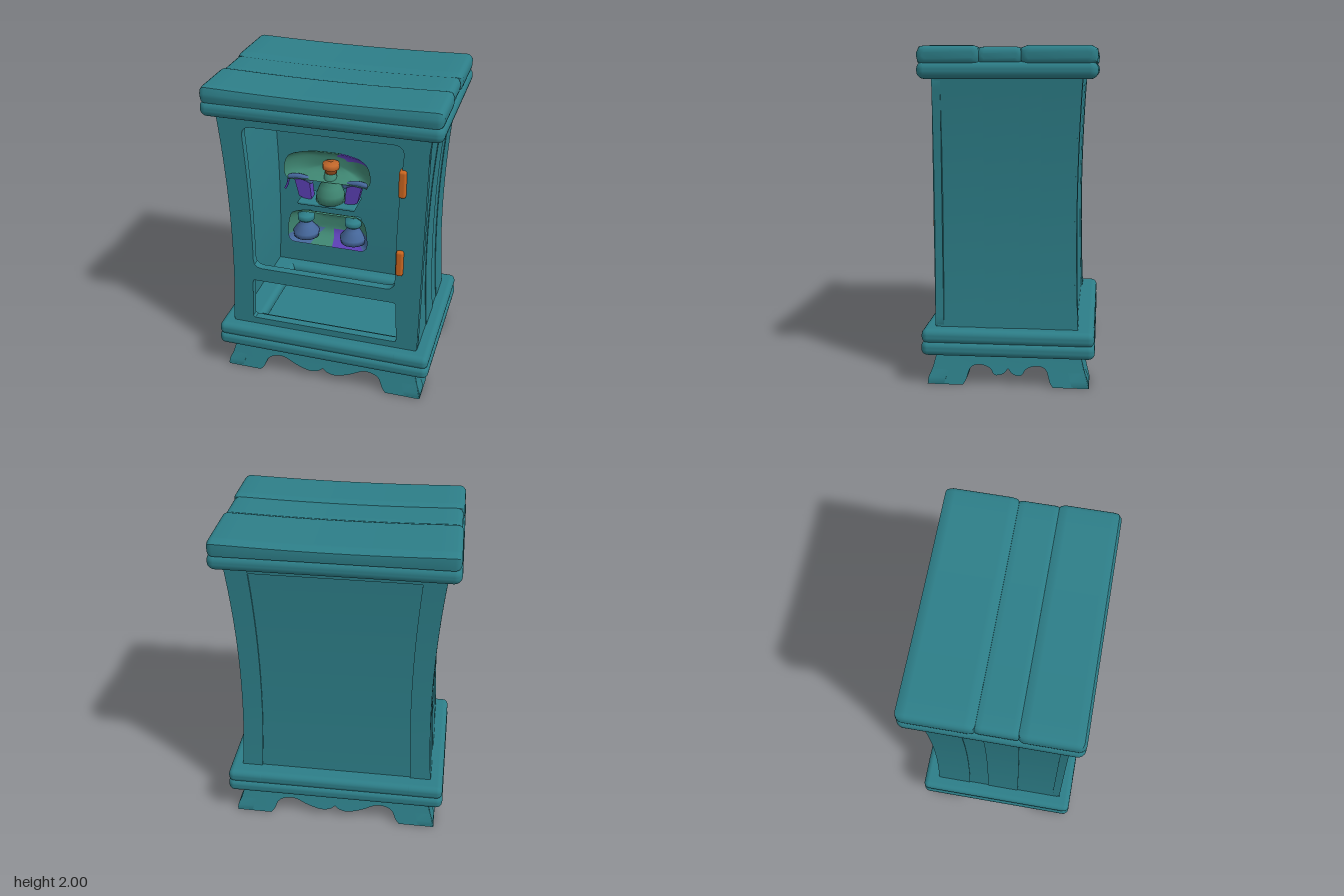
import * as THREE from 'three';
import { toCreasedNormals } from 'three/addons/utils/BufferGeometryUtils.js';
import { RoundedBoxGeometry } from 'three/addons/geometries/RoundedBoxGeometry.js';

const mat = (name, color, side = THREE.FrontSide) => {
  const m = new THREE.MeshStandardMaterial({ color, side });
  m.name = name;
  return m;
};

export function createModel() {
  const teal = mat('teal wood', 0x2d7e88);
  const orange = mat('orange hinge', 0xc9651f);
  const cork = mat('cork', 0xc0662a);
  const green = mat('green glow', 0x3f8672, THREE.DoubleSide);
  const purple = mat('purple glow', 0x5b3fb4, THREE.DoubleSide);
  const glass = mat('blue glass', 0x46689c, THREE.DoubleSide);

  const root = new THREE.Group();
  root.name = 'cabinet';
  const add = (name, geo, material, x = 0, y = 0, z = 0) => {
    const m = new THREE.Mesh(geo, material);
    m.name = name;
    m.position.set(x, y, z);
    root.add(m);
  };
  // Box given by its extents, with soft edges
  const slab = (name, x0, x1, y0, y1, z0, z1, r, material = teal) =>
    add(name, new RoundedBoxGeometry(x1 - x0, y1 - y0, z1 - z0, 3, r), material,
      (x0 + x1) / 2, (y0 + y1) / 2, (z0 + z1) / 2);
  const warp = (geo, rule) => {
    const p = geo.attributes.position;
    const v = new THREE.Vector3();
    for (let i = 0; i < p.count; i++) {
      rule(v.fromBufferAttribute(p, i));
      p.setXYZ(i, v.x, v.y, v.z);
    }
    geo.computeVertexNormals();
    return geo;
  };
  // The body is waisted: wider at top and bottom, front face stays flat
  const waist = (geo) => warp(geo, (v) => {
    const t = ((v.y - 0.95) / 0.87) ** 2;
    v.x *= 1 + 0.085 * t;
    if (v.z < 0) v.z *= 1 + 0.07 * t;
  });
  // Upright board of the body, given by its extents before bending
  const board = (name, x0, x1, y0, y1, z0, z1) => {
    const g = new THREE.BoxGeometry(x1 - x0, y1 - y0, z1 - z0, 1, 16, 1);
    g.translate((x0 + x1) / 2, (y0 + y1) / 2, (z0 + z1) / 2);
    add(name, waist(g), teal);
  };

  const outline = (hw, y0, y1, r, Type, n = 120) => {
    const s = new THREE.Shape();
    s.moveTo(-hw + r, y0).lineTo(hw - r, y0);
    s.quadraticCurveTo(hw, y0, hw, y0 + r).lineTo(hw, y1 - r);
    s.quadraticCurveTo(hw, y1, hw - r, y1).lineTo(-hw + r, y1);
    s.quadraticCurveTo(-hw, y1, -hw, y1 - r).lineTo(-hw, y0 + r);
    s.quadraticCurveTo(-hw, y0, -hw + r, y0);
    return new Type(s.getSpacedPoints(n));
  };

  // Front frame with the door and drawer openings
  const face = outline(0.593, 0.33, 1.83, 0.01, THREE.Shape);
  face.holes.push(outline(0.458, 0.78, 1.75, 0.06, THREE.Path), outline(0.465, 0.39, 0.685, 0.015, THREE.Path));
  const frame = new THREE.ExtrudeGeometry(face, { depth: 0.05, bevelEnabled: false });
  frame.translate(0, 0, 0.387);
  add('frontFrame', toCreasedNormals(waist(frame), 0.6), teal);

  // Back panel and its frame
  board('backPanel', -0.57, 0.57, 0.33, 1.83, -0.39, -0.365);
  for (const s of [-1, 1]) board('backPost', s * 0.53 - 0.063, s * 0.53 + 0.063, 0.33, 1.83, -0.4, -0.37);
  board('backTopRail', -0.48, 0.48, 1.765, 1.83, -0.398, -0.372);

  // Side planks, alternately set in a little, flush on the inside
  const cuts = [0.42, 0.14, -0.06, -0.19, -0.385];
  for (const s of [-1, 1]) for (let i = 0; i < 4; i++) {
    const outer = s * (0.59 + (i % 2) * 0.004), inner = s * 0.563;
    board('sidePlank', Math.min(outer, inner), Math.max(outer, inner), 0.33, 1.83, cuts[i + 1] - 0.003, cuts[i] + 0.003);
  }

  // Top: one lower slab and three upper planks, sagging towards the middle
  slab('topLowerSlab', -0.717, 0.717, 1.812, 1.912, -0.515, 0.515, 0.045);
  for (const [z0, z1, half, y1] of [[-0.514, -0.075, 0.71, 2], [-0.1, 0.175, 0.702, 1.992], [0.145, 0.514, 0.71, 2]]) {
    const b = 0.037;
    const section = outline((z1 - z0) / 2 - b, 1.89 + b, y1 - b, 0.012, THREE.Shape, 60);
    const g = new THREE.ExtrudeGeometry(section,
      { depth: 2 * (half - b), steps: 14, bevelSize: b, bevelThickness: b, bevelSegments: 4 });
    g.translate(0, 0, b - half).rotateY(Math.PI / 2).translate(0, 0, (z0 + z1) / 2);
    warp(g, (v) => { if (v.y > 1.95) v.y -= 0.012 * Math.max(0, 1 - (v.x / 0.65) ** 2); });
    add('topUpperPlank', toCreasedNormals(g, 0.7), teal);
  }

  // Base: two layers of beams around an open tray
  for (const [y0, y1, o, ix, iz] of [[0.185, 0.272, 0, 0.5, 0.34], [0.258, 0.345, 0.004, 0.45, 0.3]]) {
    for (const s of [-1, 1]) {
      const a = s * (0.703 - o), b = s * ix;
      slab('baseSideBeam', Math.min(a, b), Math.max(a, b), y0, y1, -0.512, 0.512, 0.036);
      const c = s * (0.515 - o), d = s * iz;
      slab('baseCrossBeam', -0.7 + o, 0.7 - o, y0, y1, Math.min(c, d), Math.max(c, d), 0.036);
    }
  }
  slab('trayFloor', -0.52, 0.52, 0.225, 0.25, -0.36, 0.36, 0.008);

  // Scalloped skirts, given as the right half of the lower edge
  const skirt = (name, half, foot, top, place) => {
    const edge = new THREE.SplineCurve(half.map((p) => new THREE.Vector2(...p))).getPoints(24);
    const right = [...edge, new THREE.Vector2(foot - 0.002, 0), new THREE.Vector2(foot, 0.015),
      new THREE.Vector2(foot - 0.004, 0.04), new THREE.Vector2(top + 0.02, 0.11), new THREE.Vector2(top, 0.2)];
    const left = right.slice(1).reverse().map((p) => new THREE.Vector2(-p.x, p.y));
    const g = new THREE.ExtrudeGeometry(new THREE.Shape([...right, ...left]), { depth: 0.1, bevelEnabled: false });
    place(warp(g, (v) => { v.z += 0.055 * Math.max(0, 1 - v.y / 0.19); }));
    add(name, toCreasedNormals(g, 0.6), teal);
  };
  const frontEdge = [[0, 0.085], [0.03, 0.062], [0.09, 0.052], [0.18, 0.075], [0.28, 0.115], [0.37, 0.095], [0.405, 0.03], [0.43, 0]];
  const sideEdge = [[0, 0.1], [0.03, 0.068], [0.08, 0.062], [0.11, 0.1], [0.17, 0.118], [0.225, 0.1], [0.25, 0.03], [0.27, 0]];
  for (const s of [0, 1]) {
    skirt('skirt', frontEdge, 0.658, 0.602, (g) => g.translate(0, 0, 0.328).rotateY(s * Math.PI));
    skirt('sideSkirt', sideEdge, 0.482, 0.428, (g) => g.translate(0, 0, 0.503).rotateY(Math.PI / 2 + s * Math.PI));
  }
  // Solid feet filling the corners
  for (const x of [-1, 1]) for (const z of [-1, 1]) {
    const g = new THREE.BoxGeometry(0.2, 0.19, 0.18);
    warp(g, (v) => { if (v.y > 0) { v.x -= x * 0.055; v.z -= z * 0.055; } });
    add('foot', g, teal, x * 0.54, 0.0965, z * 0.375);
  }

  // Hinges
  for (const y of [0.985, 1.515]) slab('hinge', 0.464, 0.508, y - 0.085, y + 0.085, 0.4, 0.463, 0.014, orange);

  // Hollow dishes of the display; each tint is [first sector, last sector, material index]
  const dish = (name, pts, cy, tints) => {
    const n = 48, rings = 8;
    const curve = new THREE.SplineCurve([...pts, pts[0]].map((p) => new THREE.Vector2(...p)));
    const rim = curve.getSpacedPoints(n);
    const pos = [], idx = [];
    for (let r = 0; r <= rings; r++) for (let i = 0; i <= n; i++) {
      const k = 1 - r / rings;
      pos.push(rim[i].x * k, cy + (rim[i].y - cy) * k, 0.225 + 0.105 * k ** 4);
    }
    const g = new THREE.BufferGeometry();
    for (let i = 0; i < n; i++) for (let r = 0; r < rings; r++) {
      const a = r * (n + 1) + i, b = a + n + 1;
      const tint = tints.find(([lo, hi]) => i >= lo && i < hi && r < 5);
      g.addGroup(idx.length, 6, tint ? tint[2] : 0);
      idx.push(a, a + 1, b, a + 1, b + 1, b);
    }
    g.setAttribute('position', new THREE.Float32BufferAttribute(pos, 3));
    g.setIndex(idx);
    g.computeVertexNormals();
    add(name, g, [green, purple, glass]);
  };
  dish('upperDish', [[0, 1.4], [0.15, 1.4], [0.245, 1.395], [0.27, 1.46], [0.235, 1.555], [0.12, 1.59], [0, 1.595],
    [-0.12, 1.59], [-0.235, 1.555], [-0.27, 1.46], [-0.245, 1.395], [-0.15, 1.4]], 1.49, [[14, 21, 1]]);
  dish('lowerDish', [[0, 0.952], [0.14, 0.952], [0.24, 0.96], [0.255, 1.04], [0.225, 1.165], [0.12, 1.178], [0, 1.178],
    [-0.12, 1.178], [-0.225, 1.165], [-0.255, 1.04], [-0.24, 0.96], [-0.14, 0.952]], 1.07, [[1, 8, 1], [8, 12, 2], [38, 44, 2]]);

  // Thin shelf between the dishes
  slab('shelf', -0.18, 0.18, 1.24, 1.26, 0.19, 0.36, 0.008);

  // Rolled drapes beside the large bottle
  for (const s of [-1, 1]) {
    const sh = new THREE.Shape();
    sh.moveTo(s * 0.105, 1.262).quadraticCurveTo(s * 0.11, 1.34, s * 0.12, 1.385);
    sh.lineTo(s * 0.215, 1.4).quadraticCurveTo(s * 0.2, 1.34, s * 0.185, 1.275);
    sh.quadraticCurveTo(s * 0.15, 1.255, s * 0.105, 1.262);
    add('drape', new THREE.ExtrudeGeometry(sh, { depth: 0.06, bevelEnabled: false }), purple, 0, 0, 0.25);
    const roll = new THREE.QuadraticBezierCurve3(new THREE.Vector3(s * 0.1, 1.375, 0.3),
      new THREE.Vector3(s * 0.17, 1.43, 0.31), new THREE.Vector3(s * 0.25, 1.395, 0.31));
    add('drapeRoll', new THREE.TubeGeometry(roll, 10, 0.017, 8), glass);
  }
  // Loose curl at the edge of one drape
  const curl = new THREE.QuadraticBezierCurve3(new THREE.Vector3(-0.25, 1.385, 0.31),
    new THREE.Vector3(-0.25, 1.35, 0.31), new THREE.Vector3(-0.272, 1.315, 0.31));
  add('drapeCurl', new THREE.TubeGeometry(curl, 6, 0.007, 6), purple);

  // Bottles
  const bottle = (name, pts, material, x, y) =>
    add(name, new THREE.LatheGeometry(pts.map((p) => new THREE.Vector2(...p)), 20), material, x, y, 0.28);
  bottle('largeBottle', [[0, 0], [0.09, 0], [0.086, 0.05], [0.066, 0.1], [0.04, 0.14], [0.036, 0.185], [0, 0.19]], green, 0.008, 1.26);
  bottle('corkStopper', [[0, 0], [0.036, 0], [0.036, 0.022], [0.05, 0.028], [0.05, 0.062], [0, 0.066]], cork, 0.012, 1.447);
  for (const s of [-1, 1]) {
    bottle('smallBottle', [[0, 0], [0.078, 0], [0.082, 0.035], [0.045, 0.08], [0.036, 0.105]], glass, s * 0.152, 0.99);
    bottle('smallStopper', [[0, 0], [0.036, 0], [0.052, 0.012], [0.052, 0.046], [0, 0.05]], teal, s * 0.152, 1.093);
  }

  return root;
}
